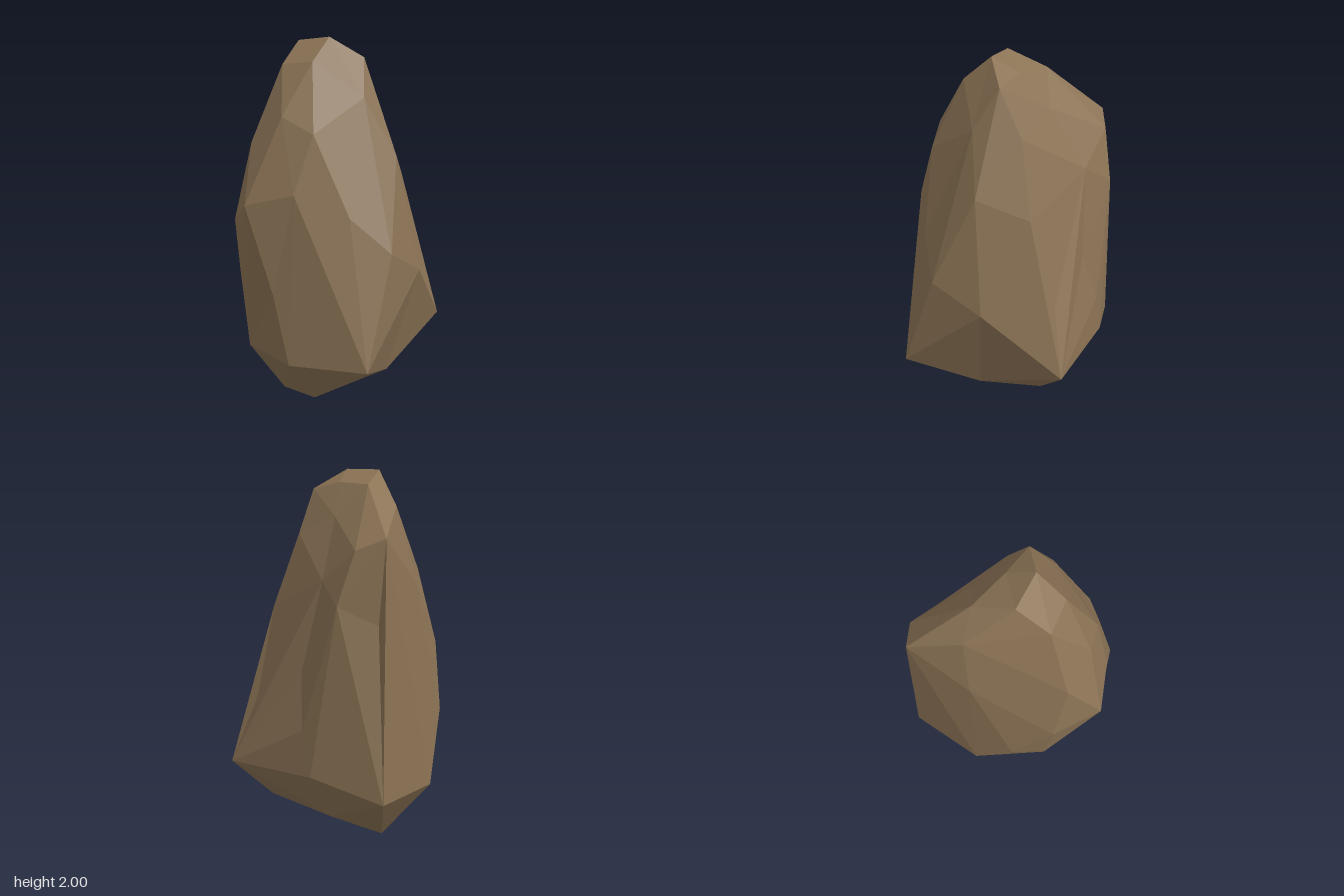
import * as THREE from 'three';
import { ConvexGeometry } from 'three/addons/geometries/ConvexGeometry.js';

// Corner points of the boulder, grouped by height
const base = [
  [0.10, 0, -0.37], [-0.24, 0, -0.13], [-0.30, 0.04, 0.20],
  [0.32, 0.11, -0.19], [0.09, 0.155, 0.37], [0.40, 0.165, 0.20],
];
const skirt = [
  [-0.29, 0.27, 0.595], [-0.50, 0.27, 0.22], [-0.42, 0.27, -0.22], [-0.12, 0.27, -0.53],
  [0.33, 0.27, -0.595], [0.51, 0.38, -0.24], [0.61, 0.38, 0.30],
];
const sides = [
  [0.21, 0.73, 0.50], [-0.08, 0.86, 0.56], [-0.53, 0.64, 0.13], [-0.61, 1.11, 0],
  [-0.49, 1.0, -0.25], [-0.33, 0.65, -0.42], [0.51, 0.62, -0.18], [0.49, 0.75, 0.21],
  [0.45, 0.91, -0.11], [-0.25, 1.05, 0.42], [-0.46, 1.17, 0.22], [0.28, 1.18, -0.51],
];
const shoulders = [
  [0.34, 1.24, 0.24], [0.44, 1.28, -0.37], [0.11, 1.36, 0.41], [-0.07, 1.39, -0.45],
  [0.38, 1.40, -0.20], [-0.46, 1.43, -0.13], [-0.34, 1.48, 0.24], [-0.42, 1.57, 0.08],
  [0.36, 1.56, -0.42], [0.26, 1.62, -0.54], [0.22, 1.64, 0.16], [-0.01, 1.67, 0.28],
  [0.20, 1.73, -0.11],
];
const crown = [
  [0.01, 1.785, -0.38], [-0.28, 1.85, -0.08], [-0.22, 1.86, 0.10], [0.09, 1.89, 0.18],
  [0.08, 1.90, -0.24], [0.07, 1.92, -0.01], [-0.11, 1.99, -0.14], [-0.06, 2.0, 0.06],
];

// Facets come from a hull pulled towards an ellipsoid, so dents keep their corners
function facetedRock(points) {
  const centre = new THREE.Vector3(0, 0.95, 0);
  const radii = new THREE.Vector3(0.58, 1.08, 0.6);
  const rounded = points.map((p) => {
    const onShell = p.clone().sub(centre).divide(radii).normalize().multiply(radii).add(centre);
    return p.clone().lerp(onShell, 0.4);
  });
  const geometry = new ConvexGeometry(rounded);
  const position = geometry.attributes.position;
  const v = new THREE.Vector3();
  for (let i = 0; i < position.count; i++) {
    v.fromBufferAttribute(position, i);
    let nearest = 0;
    rounded.forEach((q, k) => {
      if (q.distanceToSquared(v) < rounded[nearest].distanceToSquared(v)) nearest = k;
    });
    position.setXYZ(i, ...points[nearest].toArray());
  }
  geometry.computeVertexNormals();
  return geometry;
}

export function createModel() {
  const stone = new THREE.MeshStandardMaterial({ color: 0x8b7355 });
  stone.name = 'brown stone';
  stone.flatShading = true;

  const points = [...base, ...skirt, ...sides, ...shoulders, ...crown]
    .map((p) => new THREE.Vector3(...p));
  const boulder = new THREE.Mesh(facetedRock(points), stone);
  boulder.name = 'boulder';

  const model = new THREE.Group();
  model.name = 'rock';
  model.add(boulder);
  return model;
}
